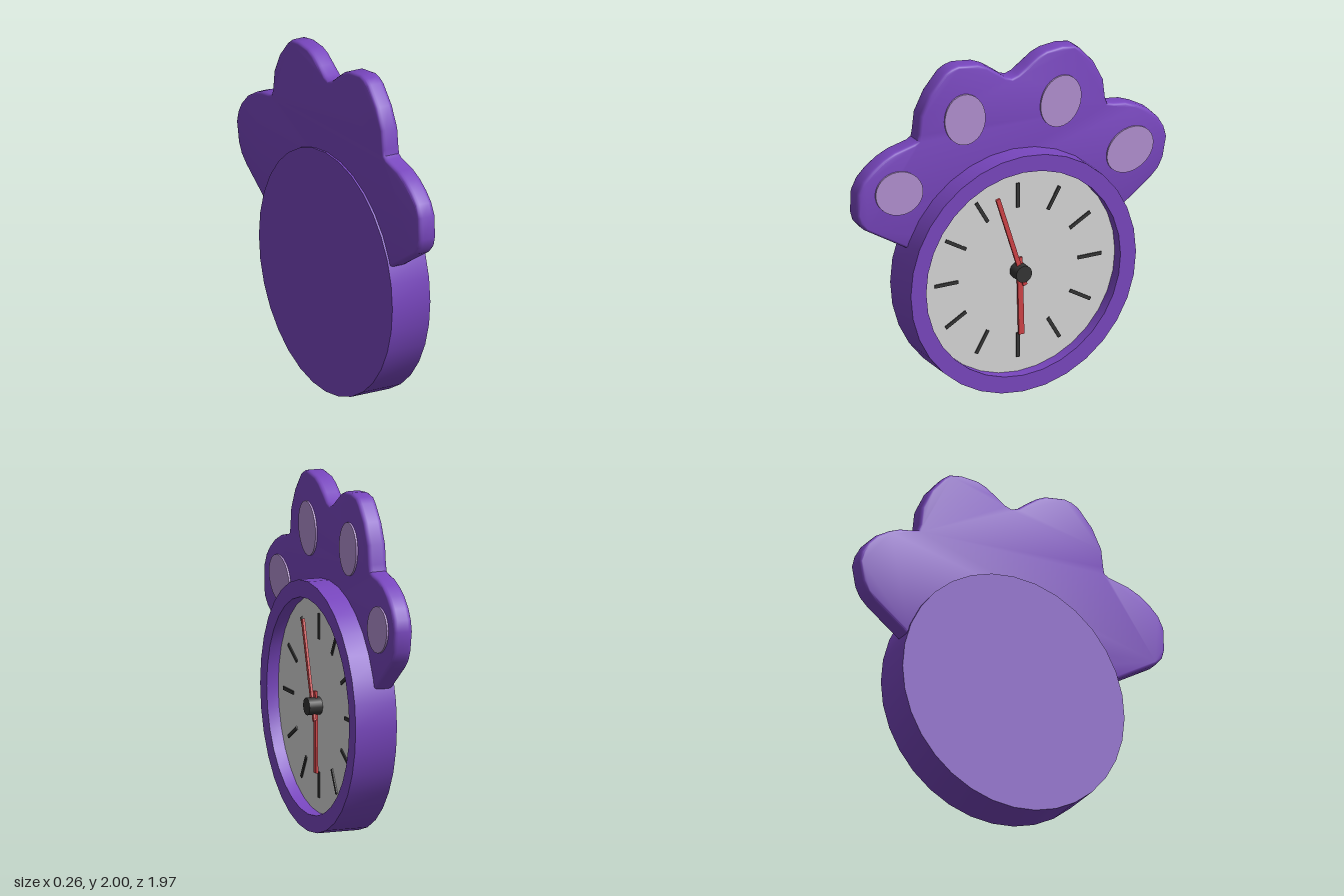
import * as THREE from 'three';
import { toCreasedNormals } from 'three/addons/utils/BufferGeometryUtils.js';

const mat = (name, color) => {
  const m = new THREE.MeshStandardMaterial({ color });
  m.name = name;
  return m;
};

export function createModel() {
  const purple = mat('purple', 0x7846be);
  const lilac = mat('lilac', 0xb290d0);
  const white = mat('dialGrey', 0xd6d6d6);
  const black = mat('black', 0x343434);
  const red = mat('red', 0xcf4347);

  // Built facing +z, then turned so the dial faces +x
  const clock = new THREE.Group();
  clock.name = 'pawClock';
  const CY = 0.718;
  const add = (name, geo, material, x = 0, y = CY, z = 0, turn = 0) => {
    const mesh = new THREE.Mesh(geo, material);
    mesh.name = name;
    mesh.position.set(x, y, z);
    mesh.rotation.z = turn;
    clock.add(mesh);
    return mesh;
  };
  const disc = (r, depth, sides = 32) =>
    new THREE.CylinderGeometry(r, r, depth, sides).rotateX(Math.PI / 2);

  // Round case with a recessed front
  const profile = [[0, -0.13], [0.715, -0.13], [0.715, 0.12], [0.617, 0.12], [0.617, 0.045]]
    .map(([r, y]) => new THREE.Vector2(r, y));
  const caseGeo = new THREE.LatheGeometry(profile, 32).rotateX(Math.PI / 2);
  add('case', toCreasedNormals(caseGeo, 0.6), purple);
  add('dial', new THREE.CircleGeometry(0.618, 32), white, 0, CY, 0.05);

  // Paw plate with four toes
  const outline = [
    [-0.656, 0.946], [-0.93, 1.11], [-0.97, 1.155], [-0.985, 1.21], [-0.98, 1.34], [-0.945, 1.41],
    [-0.89, 1.465], [-0.82, 1.515], [-0.745, 1.55], [-0.624, 1.58], [-0.6, 1.595], [-0.593, 1.63],
    [-0.58, 1.74], [-0.52, 1.86], [-0.43, 1.965], [-0.385, 1.99], [-0.34, 2.0], [-0.217, 1.985],
    [-0.16, 1.96], [-0.095, 1.915], [-0.04, 1.873], [0, 1.86], [0.04, 1.873], [0.1, 1.915],
    [0.165, 1.96], [0.22, 1.982], [0.32, 1.992], [0.4, 1.98], [0.44, 1.95], [0.52, 1.86],
    [0.58, 1.74], [0.593, 1.63], [0.605, 1.592], [0.645, 1.582], [0.72, 1.572], [0.79, 1.545],
    [0.87, 1.5], [0.93, 1.44], [0.965, 1.38], [0.982, 1.315], [0.96, 1.195], [0.93, 1.135],
    [0.88, 1.085], [0.68, 0.935], [0.45, 0.7], [-0.45, 0.7],
  ].map(([x, y]) => new THREE.Vector2(x, y));
  const plate = new THREE.ExtrudeGeometry(new THREE.Shape(outline), {
    depth: 0.06, bevelEnabled: true, bevelThickness: 0.025, bevelSize: 0.015,
    bevelOffset: -0.015, bevelSegments: 3,
  });
  add('pawPlate', toCreasedNormals(plate, 0.7), purple, 0, 0, -0.093);

  // Toe pads: x, y, half width, half height, tilt
  [
    [-0.725, 1.305, 0.153, 0.13, -0.35],
    [-0.307, 1.673, 0.128, 0.155, 0.2],
    [0.302, 1.668, 0.128, 0.155, -0.2],
    [0.741, 1.288, 0.152, 0.13, 0.5],
  ].forEach(([x, y, rx, ry, tilt]) => {
    add('toePad', disc(1, 0.03).scale(rx, ry, 1), lilac, x, y, -0.013, tilt);
  });

  // Hour marks
  for (let i = 0; i < 12; i++) {
    const a = (i * Math.PI) / 6;
    add('hourMark', new THREE.BoxGeometry(0.02, 0.148, 0.008), black,
      Math.sin(a) * 0.455, CY + Math.cos(a) * 0.455, 0.053, -a);
  }

  // Hands: each reaches from its tail past the hub to its tip
  const hand = (name, width, tail, length, turn, z) => {
    const geo = new THREE.BoxGeometry(width, tail + length, 0.014);
    geo.translate(0, (length - tail) / 2, 0);
    add(name, geo, red, 0, CY, z, turn);
  };
  hand('hourHand', 0.034, 0.085, 0.383, Math.PI + 0.025, 0.075);
  hand('minuteHand', 0.026, 0.085, 0.495, 0.304, 0.091);
  add('hub', disc(0.05, 0.079, 20), black, 0, CY, 0.0895);

  clock.rotation.y = Math.PI / 2;
  const model = new THREE.Group();
  model.add(clock);
  return model;
}
